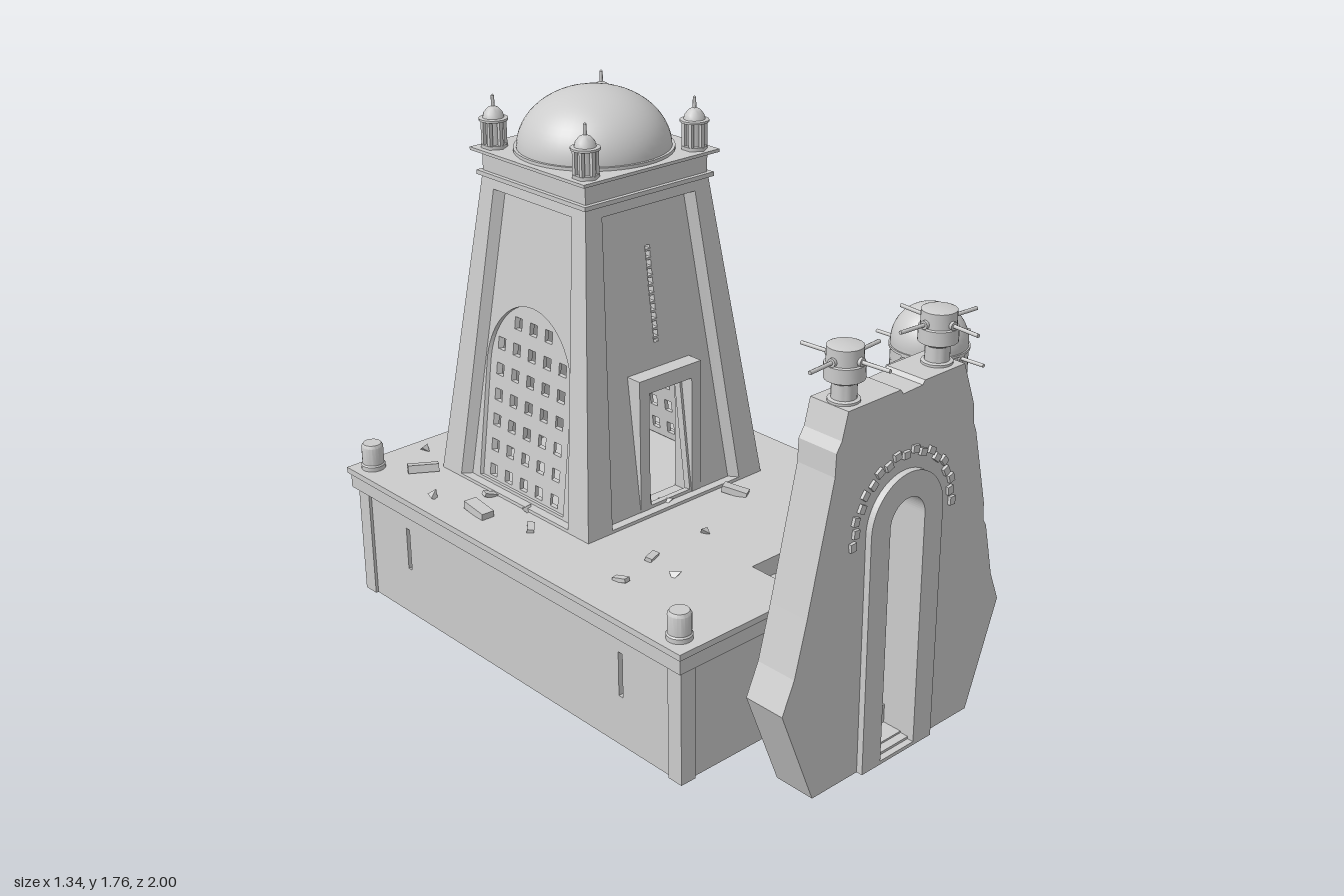
import * as THREE from 'three';
import { toCreasedNormals } from 'three/addons/utils/BufferGeometryUtils.js';

const grey = new THREE.MeshStandardMaterial({ color: 0xcccccc, side: THREE.DoubleSide });
const CX = -0.07;                                  // platform and gate axis
const TX = -0.056, TZ = -0.408;                    // tower axis
const halfAt = y => 0.375 - (y - 0.46) * 0.1225;   // tower half width at a height

function add(parent, name, geo, x = 0, y = 0, z = 0) {
  const m = new THREE.Mesh(geo, grey);
  m.name = name;
  m.position.set(x, y, z);
  parent.add(m);
  return m;
}
function group(parent, name, x = 0, y = 0, z = 0) {
  const g = new THREE.Group();
  g.name = name;
  g.position.set(x, y, z);
  parent.add(g);
  return g;
}
const poly = pts => new THREE.Shape(pts.map(p => new THREE.Vector2(p[0], p[1])));
const rect = (x0, y0, x1, y1) => poly([[x0, y0], [x1, y0], [x1, y1], [x0, y1]]);
const trapezoid = (y0, a, y1, b) => poly([[-a, y0], [a, y0], [b, y1], [-b, y1]]);
function arch(r, y0, spring) {
  const s = new THREE.Shape();
  s.moveTo(-r, y0);
  s.lineTo(r, y0);
  s.lineTo(r, spring);
  s.absarc(0, spring, r, 0, Math.PI, false);
  s.closePath();
  return s;
}
const extrude = (shape, depth, holes = []) => {
  shape.holes.push(...holes);
  return new THREE.ExtrudeGeometry(shape, { depth, bevelEnabled: false, curveSegments: 16 });
};
const lathe = (pts, n = 28) => toCreasedNormals(
  new THREE.LatheGeometry(pts.map(p => new THREE.Vector2(p[0], p[1])), n), 0.6);

// Leans a flat panel onto the tapering tower, w0..w1 deep below the surface
function leaning(shape, w0, w1, holes = []) {
  const g = extrude(shape, w1 - w0, holes);
  const p = g.attributes.position;
  for (let i = 0; i < p.count; i++) {
    const h = halfAt(p.getY(i)), d = h - (w1 - p.getZ(i));
    p.setXYZ(i, p.getX(i) * d / h, p.getY(i), d);
  }
  g.computeVertexNormals();
  return g;
}

// Four thin rods radiating from a turret
function rods(parent, r0, r1, y, turn) {
  for (let i = 0; i < 4; i++) {
    const a = turn + i * Math.PI / 2, mid = (r0 + r1) / 2;
    const rod = add(parent, 'rod', new THREE.CylinderGeometry(0.006, 0.006, r1 - r0, 8),
      Math.cos(a) * mid, y, -Math.sin(a) * mid);
    rod.rotation.set(0, a, Math.PI / 2);
    const boss = add(parent, 'rodSocket', new THREE.CylinderGeometry(0.013, 0.013, 0.02, 10),
      Math.cos(a) * r0, y, -Math.sin(a) * r0);
    boss.rotation.set(0, a, Math.PI / 2);
  }
}

function buildPlatform(root) {
  const g = group(root, 'platform');
  const slab = (name, e, y0, y1) => {
    const x0 = -0.64 - e, x1 = 0.5 + e, b = 0.98 + Math.min(e, 0.02), f = -0.61 - e;
    const s = poly([[x0, f], [-0.165, f], [-0.165, -0.415], [0.025, -0.415], [0.025, f],
      [x1, f], [x1, b - 0.03], [x1 - 0.02, b], [x0, b]]);
    add(g, name, extrude(s, y1 - y0).rotateX(-Math.PI / 2), 0, y0, 0);
  };
  slab('corniceBand', 0.016, 0.385, 0.44);
  slab('deck', 0.028, 0.44, 0.46);
  // Thin walls, slits in the long sides
  for (const x of [-0.63, 0.46]) {
    const slits = [0.34, -0.72].map(z => rect(-z - 0.009, 0.17, -z + 0.009, 0.32));
    add(g, 'sideWall', extrude(rect(-0.6, 0, 0.97, 0.4), 0.03, slits).rotateY(Math.PI / 2), x, 0, 0);
  }
  add(g, 'backWall', new THREE.BoxGeometry(1.12, 0.4, 0.03), CX, 0.2, -0.955);
  add(g, 'frontWall', new THREE.BoxGeometry(0.465, 0.4, 0.03), -0.3975, 0.2, 0.588);
  add(g, 'frontWall', new THREE.BoxGeometry(0.465, 0.4, 0.03), 0.2575, 0.2, 0.588);
  // Corner pilasters and posts
  for (const x of [-0.612, 0.472]) for (const z of [-0.952, 0.584]) {
    add(g, 'cornerPilaster', new THREE.BoxGeometry(0.056, 0.39, 0.056), x, 0.195, z);
    if (x > 0 && z > 0) continue;
    add(g, 'cornerPost', lathe([[0.04, 0.455], [0.04, 0.475], [0.036, 0.48], [0.036, 0.54],
      [0.03, 0.55], [0, 0.55]], 20), x > 0 ? 0.447 : -0.602, 0, z > 0 ? 0.566 : -0.94);
  }
  // Stairs rising through the gate to the deck
  for (let i = 0; i < 7; i++) {
    const top = 0.46 - 0.062 * (i + 1);
    add(g, 'stairStep', new THREE.BoxGeometry(i < 5 ? 0.19 : 0.144, top, 0.067),
      CX, top / 2, 0.4485 + 0.067 * i);
  }
}

function buildTower(root) {
  const g = group(root, 'tower', TX, 0, TZ);
  const panelEdge = () => trapezoid(0.47, 0.275, 1.445, 0.19);
  const sides = ['front', 'right', 'back', 'left'];
  sides.forEach((side, k) => {
    const s = group(g, side + 'Side');
    s.rotation.y = k * Math.PI / 2;
    add(s, 'cornerPillars', leaning(trapezoid(0.45, halfAt(0.45), 1.485, halfAt(1.485)), 0, 0.03, [panelEdge()]));
    const holes = [];
    if (k === 0) holes.push(rect(-0.09, 0.48, 0.09, 0.88), rect(-0.01, 1.0, 0.01, 1.31));
    if (k % 2) holes.push(arch(0.232, 0.48, 0.87));
    add(s, 'wallPanel', leaning(trapezoid(0.455, 0.31, 1.47, 0.215), 0.03, 0.05, holes));
    if (k === 0) {
      add(s, 'doorFrame', extrude(rect(-0.13, 0.455, 0.13, 0.92), 0.08, [rect(-0.09, 0.465, 0.09, 0.87)]), 0, 0, 0.265);
      for (let i = 0; i < 11; i++) {
        const y = 1.015 + i * 0.028;
        add(s, 'slitBar', new THREE.BoxGeometry(0.022, 0.008, 0.02), 0, y, halfAt(y) - 0.038);
      }
    }
    if (k % 2) {
      const squares = [];
      for (let r = 0; r < 7; r++) for (let c = -2; c <= 2; c++) {
        if (r === 6 && Math.abs(c) === 2) continue;
        const x = c * 0.087, y = 0.51 + r * 0.0865;
        squares.push(rect(x - 0.02, y - 0.02, x + 0.02, y + 0.02));
      }
      add(s, 'latticeScreen', leaning(arch(0.238, 0.465, 0.87), 0.04, 0.056, squares));
    }
  });
  // Neck, ledges and dome
  add(g, 'lowerLedge', new THREE.BoxGeometry(0.525, 0.014, 0.525), 0, 1.487, 0);
  add(g, 'neck', new THREE.BoxGeometry(0.496, 0.075, 0.496), 0, 1.525, 0);
  add(g, 'upperLedge', new THREE.BoxGeometry(0.55, 0.01, 0.55), 0, 1.563, 0);
  add(g, 'domeRing', new THREE.CylinderGeometry(0.252, 0.252, 0.012, 48), 0, 1.572, 0);
  add(g, 'dome', new THREE.SphereGeometry(0.243, 48, 16, 0, Math.PI * 2, 0, Math.PI / 2)
    .scale(1, 0.79, 1), 0, 1.572, 0);
  // Corner lanterns
  for (const x of [-0.22, 0.22]) for (const z of [-0.22, 0.22]) {
    const l = group(g, 'lantern', x, 1.567, z);
    add(l, 'lanternBase', new THREE.CylinderGeometry(0.042, 0.042, 0.012, 6), 0, 0.006, 0);
    add(l, 'lanternCore', new THREE.CylinderGeometry(0.026, 0.026, 0.085, 6), 0, 0.05, 0);
    for (let i = 0; i < 6; i++) {
      const a = i * Math.PI / 3;
      add(l, 'lanternPost', new THREE.BoxGeometry(0.012, 0.08, 0.012), 0.032 * Math.sin(a), 0.05, 0.032 * Math.cos(a));
    }
    add(l, 'lanternCap', lathe([[0, 0.088], [0.046, 0.088], [0.046, 0.095], [0.034, 0.097], [0.03, 0.112],
      [0.018, 0.126], [0.006, 0.132], [0.005, 0.165], [0, 0.17]], 16));
  }
}

function buildGate(root) {
  const g = group(root, 'gate', CX, 0, 0);
  // Flared slab with a chipped outline
  const outline = poly([[-0.34, 0], [-0.073, 0], [-0.073, 0.01], [0.073, 0.01], [0.073, 0], [0.34, 0],
    [0.465, 0.34], [0.425, 0.44], [0.385, 0.62], [0.372, 0.64], [0.368, 0.7], [0.31, 0.95], [0.297, 0.98],
    [0.292, 1.04], [0.24, 1.18], [0.07, 1.18], [0.06, 1.168], [-0.02, 1.165], [-0.03, 1.18], [-0.24, 1.18],
    [-0.262, 1.1], [-0.282, 1.07], [-0.285, 1.0], [-0.38, 0.6], [-0.425, 0.43], [-0.47, 0.33]]);
  add(g, 'gateSlab', extrude(outline, 0.14, [arch(0.1, 0.02, 0.777)]), 0, 0, 0.772);
  const surround = arch(0.152, 0, 0.777);
  add(g, 'archSurround', extrude(surround, 0.185, [arch(0.073, 0.012, 0.777)]), 0, 0, 0.748);
  // Ring of small blocks around the arch, both faces
  for (const z of [0.77, 0.914]) for (let i = 0; i <= 18; i++) {
    const a = -0.06 + i * (Math.PI + 0.12) / 18, r = i % 2 ? 0.2 : 0.21;
    add(g, 'archBlock', new THREE.BoxGeometry(0.022, 0.026, 0.016), Math.cos(a) * r, 0.777 + Math.sin(a) * r, z)
      .rotation.z = a;
  }
  // Turrets on top
  for (const side of [-1, 1]) {
    const t = group(g, 'gateTurret', side * 0.192, 1.175, 0.85);
    add(t, 'turretDrum', lathe([[0.046, 0], [0.046, 0.012], [0.036, 0.015], [0.036, 0.06], [0.058, 0.072],
      [0.058, 0.115], [0.052, 0.118], [0.052, 0.165], [0.045, 0.168], [0, 0.168]]));
    rods(t, 0.05, 0.15, 0.13, side * -0.08);
  }
}

function buildRoundTower(root) {
  const g = group(root, 'roundTower', 0.47, 0, 0.535);
  const R = 0.12, tube = (name, y0, y1, start = 0, len = Math.PI * 2) => add(g, name,
    new THREE.CylinderGeometry(R, R, y1 - y0, 40, 1, true, start, len), 0, (y0 + y1) / 2, 0);
  tube('lowerShaft', 0.45, 0.73);
  // Shaft with a slit front and back
  for (const s of [0, Math.PI]) tube('slitShaft', 0.73, 1.0, s + 0.2, Math.PI - 0.08);
  add(g, 'core', new THREE.CylinderGeometry(0.105, 0.105, 0.5, 32), 0, 0.8, 0);
  tube('upperShaft', 1.0, 1.06);
  add(g, 'cap', new THREE.SphereGeometry(R, 40, 14, 0, Math.PI * 2, 0, Math.PI / 2), 0, 1.057, 0);
  add(g, 'foot', lathe([[0, 0.42], [0.11, 0.42], [0.11, 0.385], [0.127, 0.385], [0.127, 0.45], [R, 0.46]], 40));
  add(g, 'collar', new THREE.CylinderGeometry(0.125, 0.125, 0.008, 40), 0, 1.042, 0);
  rods(g, 0.115, 0.205, 1.03, 0.05);
}

function buildRubble(root) {
  const g = group(root, 'rubble');
  let seed = 7;
  const rnd = () => (seed = (seed * 16807) % 2147483647) / 2147483647;
  // x, z, size
  const spots = [-0.5, -0.8, 6, -0.13, -0.81, 7, 0.05, -0.84, 6, -0.4, -0.93, 3, -0.55, -0.43, 6, -0.59, -0.62, 3,
    -0.45, -0.5, 3, -0.43, -0.34, 3, -0.39, -0.13, 4, -0.07, -0.07, 4, 0.14, 0.03, 5, 0.4, 0.13, 3,
    0.23, 0.52, 4, 0.17, 0.57, 4, -0.51, 0.21, 3, -0.37, 0.3, 3, -0.35, 0.17, 3, -0.12, 0.16, 3,
    0.28, 0.24, 3, 0.36, -0.68, 3, 0.39, -0.6, 3, 0.42, -0.39, 3, -0.5, -0.23, 3, 0.26, -0.09, 3];
  for (let i = 0; i < spots.length; i += 3) {
    const s = spots[i + 2] * 0.01;
    const geo = i % 2 ? new THREE.TetrahedronGeometry(s) : new THREE.BoxGeometry(s * 1.7, s * 0.8, s);
    const m = add(g, 'stone', geo.scale(1, 0.55, 0.75), spots[i], 0.46 + s * 0.22, spots[i + 1]);
    m.rotation.set(rnd() * 0.6 - 0.3, rnd() * 6.28, rnd() * 0.8 - 0.4);
  }
}

export function createModel() {
  const root = new THREE.Group();
  root.name = 'desertTemple';
  buildPlatform(root);
  buildTower(root);
  buildGate(root);
  buildRoundTower(root);
  buildRubble(root);
  return root;
}
